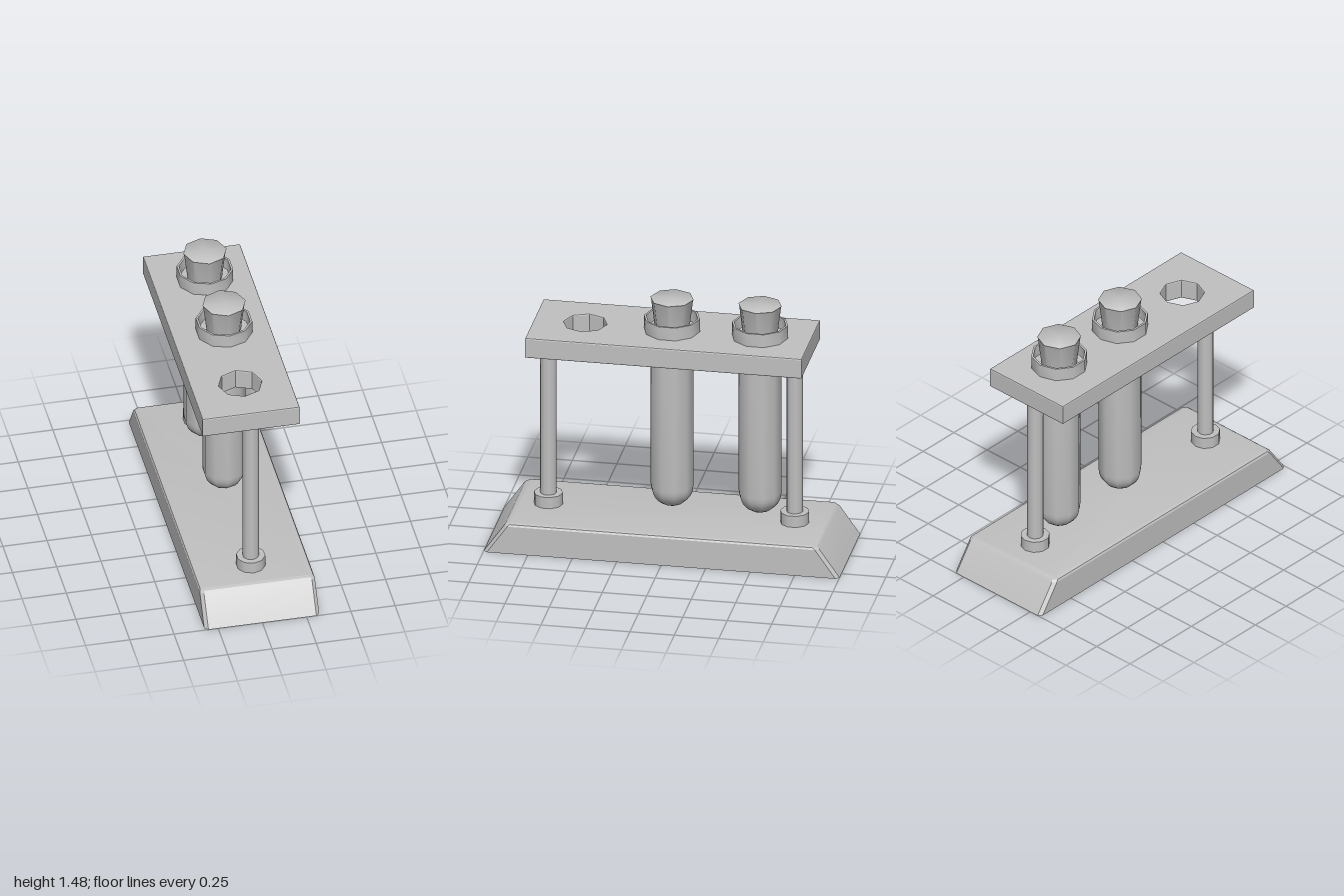
import * as THREE from 'three';
import { toCreasedNormals } from 'three/addons/utils/BufferGeometryUtils.js';

const grey = new THREE.MeshStandardMaterial({ color: 0xc0c0c0, side: THREE.DoubleSide });
grey.name = 'plain grey';

function part(name, geometry, x = 0, y = 0, z = 0) {
  const mesh = new THREE.Mesh(geometry, grey);
  mesh.name = name;
  mesh.position.set(x, y, z);
  return mesh;
}

// Lathe with crisp rims but smooth sides; ten sides, one corner towards +z
function turned(profile, sides = 10) {
  const points = profile.map(([r, y]) => new THREE.Vector2(r, y));
  return toCreasedNormals(new THREE.LatheGeometry(points, sides), 0.82);
}

// Hollow base: stacked rectangles with clipped corners, open underneath
function baseGeometry() {
  const rings = [[0, 0.325, 1], [0.163, 0.325, 0.885], [0.174, 0.319, 0.872], [0.18, 0.305, 0.855]];
  const clip = 0.02;
  const positions = [];
  const index = [];
  for (const [y, hx, hz] of rings) {
    const a = hx - clip, b = hz - clip;
    const outline = [[a, hz], [hx, b], [hx, -b], [a, -hz], [-a, -hz], [-hx, -b], [-hx, b], [-a, hz]];
    for (const [x, z] of outline) positions.push(x, y, z);
  }
  for (let r = 0; r < rings.length - 1; r++) {
    for (let i = 0; i < 8; i++) {
      const a = r * 8 + i, b = r * 8 + (i + 1) % 8;
      index.push(a, b, b + 8, a, b + 8, a + 8);
    }
  }
  const top = (rings.length - 1) * 8;
  for (let i = 1; i < 7; i++) index.push(top, top + i, top + i + 1);
  const geometry = new THREE.BufferGeometry();
  geometry.setAttribute('position', new THREE.Float32BufferAttribute(positions, 3));
  geometry.setIndex(index);
  return toCreasedNormals(geometry, 0.3);
}

// Top plate with three octagonal holes and softened edges
function plateGeometry(holeCentres) {
  const hx = 0.275, hz = 0.778, bevel = 0.008, height = 0.12;
  const shape = new THREE.Shape([[-hx, -hz], [hx, -hz], [hx, hz], [-hx, hz]]
    .map(([x, y]) => new THREE.Vector2(x, y)));
  for (const z of holeCentres) {
    const corners = [];
    for (let i = 0; i < 8; i++) {
      const t = -i * Math.PI / 4;
      corners.push(new THREE.Vector2(0.121 * Math.cos(t), -z + 0.121 * Math.sin(t)));
    }
    shape.holes.push(new THREE.Path(corners));
  }
  const geometry = new THREE.ExtrudeGeometry(shape, {
    depth: height - 2 * bevel, bevelThickness: bevel, bevelSize: bevel,
    bevelOffset: -bevel, bevelSegments: 2,
  });
  return geometry.rotateX(-Math.PI / 2).translate(0, bevel, 0);
}

// Test tube with round bottom, open collar rim and tapered stopper
function stopperedTube(z) {
  const tube = new THREE.Group();
  tube.name = 'stopperedTube';
  tube.position.z = z;
  const profile = [];
  for (let i = 0; i <= 8; i++) {
    const t = i / 8 * Math.PI / 2;
    profile.push([0.12 * Math.sin(t), 0.35 - 0.12 * Math.cos(t)]);
  }
  profile.push([0.12, 1.29]);
  tube.add(part('tubeBody', turned(profile)));
  tube.add(part('tubeRim', turned([
    [0.115, 1.283], [0.157, 1.283], [0.157, 1.36], [0.145, 1.36], [0.142, 1.295], [0.08, 1.295],
  ])));
  tube.add(part('stopper', turned([
    [0, 1.2], [0.086, 1.2], [0.118, 1.467], [0.122, 1.473], [0.118, 1.476], [0, 1.477],
  ], 8)));
  return tube;
}

export function createModel() {
  const model = new THREE.Group();
  model.name = 'testTubeRack';
  model.add(part('base', baseGeometry()));
  model.add(part('topPlate', plateGeometry([-0.495, 0, 0.49]), -0.015, 1.16, 0));

  // Support rods, each standing in a short collar
  for (const z of [0.695, -0.69]) {
    const support = new THREE.Group();
    support.name = 'support';
    support.position.z = z;
    support.add(part('rod', new THREE.CylinderGeometry(0.046, 0.046, 0.99, 10), 0, 0.675, 0));
    support.add(part('rodCollar', new THREE.CylinderGeometry(0.081, 0.081, 0.072, 10), 0, 0.211, 0));
    model.add(support);
  }

  for (const z of [0, -0.495]) model.add(stopperedTube(z));
  return model;
}
